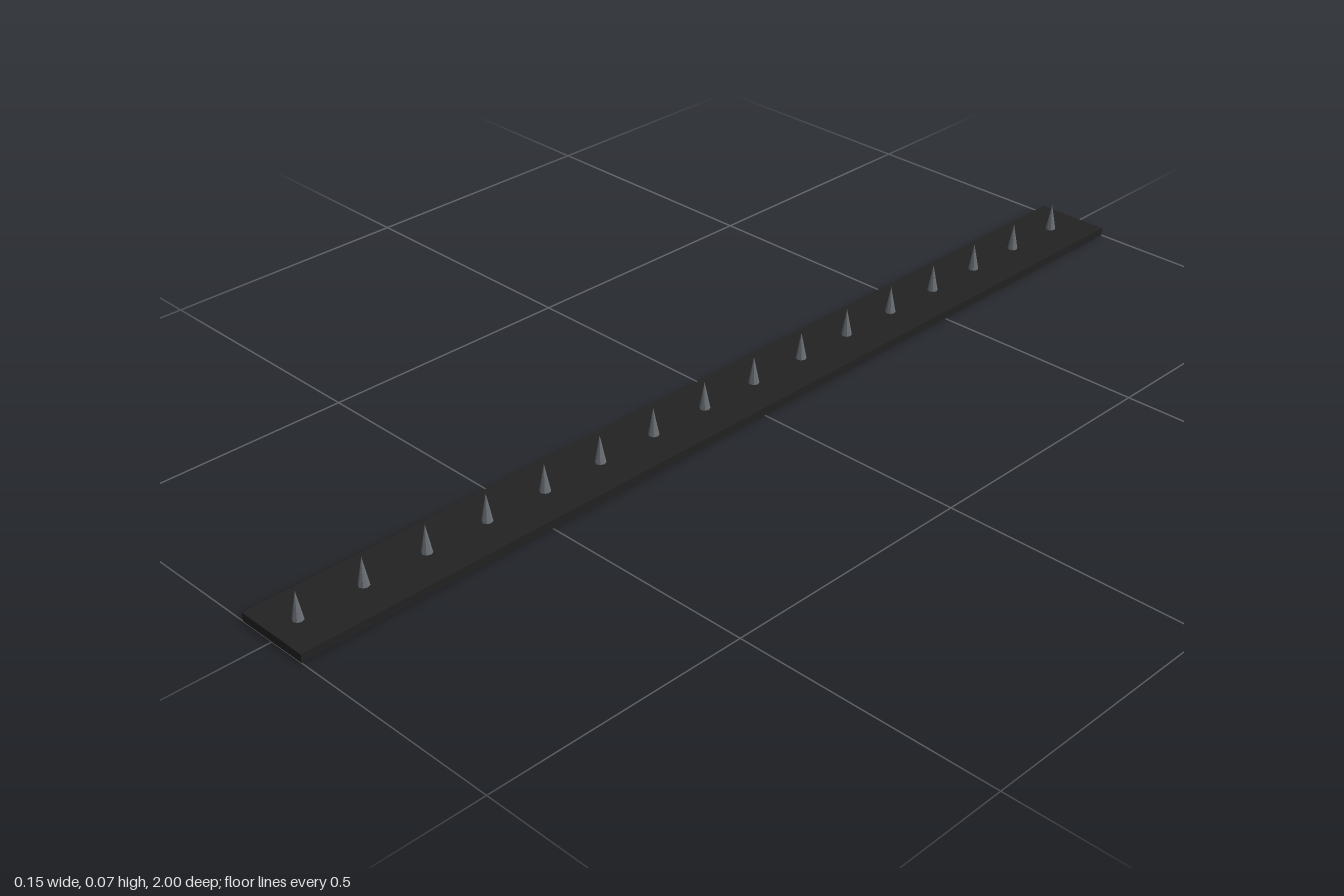
import * as THREE from 'three';

export function createModel() {
  const group = new THREE.Group();
  const rubber = new THREE.MeshStandardMaterial({ color: 0x222222 });
  rubber.name = 'blackRubber';
  const steel = new THREE.MeshStandardMaterial({ color: 0x6b7075, flatShading: true });
  steel.name = 'greySteel';

  // Flat base strip
  const base = 0.016;
  const strip = new THREE.Mesh(new THREE.BoxGeometry(0.15, base, 2), rubber);
  strip.name = 'baseStrip';
  strip.position.y = base / 2;
  group.add(strip);

  // Row of upright spikes, evenly spaced from front to back
  const height = 0.053;
  const spikeGeometry = new THREE.ConeGeometry(0.01, height, 8);
  for (let i = 0; i < 16; i++) {
    const spike = new THREE.Mesh(spikeGeometry, steel);
    spike.name = `spike${i + 1}`;
    spike.position.set(0, base + height / 2, 0.95 - i * 0.125);
    group.add(spike);
  }
  return group;
}
